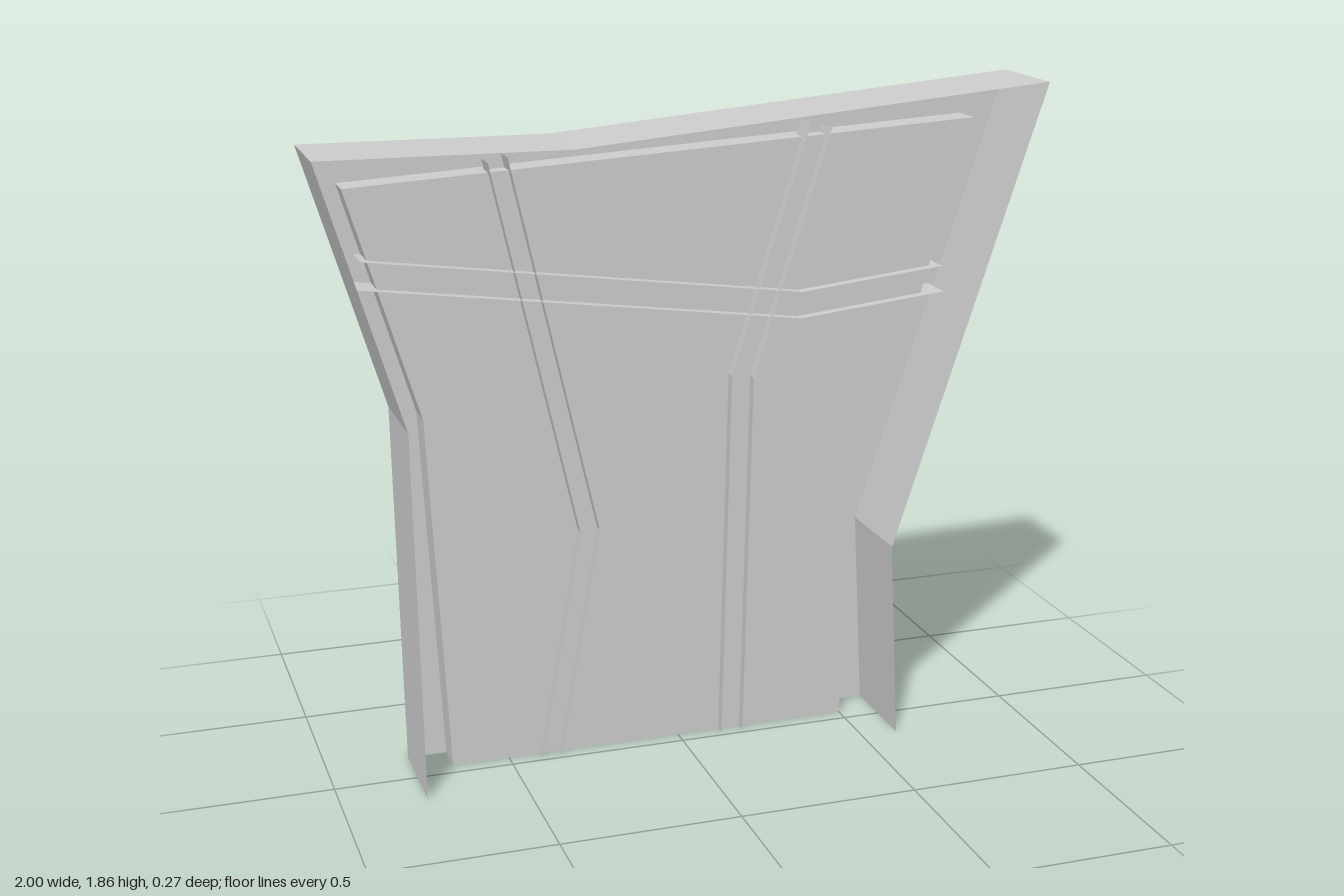
import * as THREE from 'three';

const BACK = -0.135, FRONT = 0.135, PANEL = -0.045;
const material = new THREE.MeshStandardMaterial({ color: 0xcccccc, side: THREE.DoubleSide, flatShading: true });

// Outlines run from the bottom right foot, over the top, to the bottom left foot
const outer = [[0.605, 0], [0.575, 0.57], [1, 1.855], [-0.33, 1.74], [-1, 1.745], [-0.785, 1.03], [-0.77, 0]];
const inner = [[0.5, 0], [0.52, 0.58], [0.865, 1.74], [-0.33, 1.672], [-0.9, 1.64], [-0.71, 1.01], [-0.66, 0]];

function addMesh(group, name, geometry) {
  const mesh = new THREE.Mesh(geometry, material);
  mesh.name = name;
  group.add(mesh);
  return mesh;
}

// Sheet spanned between two lines, each at its own depth
function strip(lineA, zA, lineB, zB) {
  const positions = [];
  for (let i = 0; i < lineA.length - 1; i++) {
    const a = [...lineA[i], zA], b = [...lineA[i + 1], zA];
    const c = [...lineB[i + 1], zB], d = [...lineB[i], zB];
    positions.push(...a, ...b, ...c, ...a, ...c, ...d);
  }
  const geometry = new THREE.BufferGeometry();
  geometry.setAttribute('position', new THREE.Float32BufferAttribute(positions, 3));
  geometry.computeVertexNormals();
  return geometry;
}

// Parallel line with mitred bends; ends on the ground are cut level
function offsetLine(points, distance) {
  const path = points.map(([x, y]) => new THREE.Vector2(x, y));
  return path.map((p, i) => {
    const before = p.clone().sub(path[Math.max(i - 1, 0)]).normalize();
    const after = path[Math.min(i + 1, path.length - 1)].clone().sub(p).normalize();
    const dir = before.clone().add(after).normalize();
    const side = i > 0 ? before : after;
    const normal = new THREE.Vector2(-dir.y, dir.x);
    const q = p.clone().addScaledVector(normal, distance / dir.dot(side));
    if (p.y === 0) q.addScaledVector(dir, -q.y / dir.y);
    return [q.x, q.y];
  });
}

// Open channel: a back cap and two sides that pass through the panel
function addChannel(group, name, points, halfWidth, capZ, edgeZ) {
  const channel = new THREE.Group();
  channel.name = name;
  const a = offsetLine(points, halfWidth), b = offsetLine(points, -halfWidth);
  addMesh(channel, 'channelCap', strip(a, capZ, b, capZ));
  for (const line of [a, b]) addMesh(channel, 'channelSide', strip(line, capZ, line, edgeZ));
  group.add(channel);
}

export function createModel() {
  const model = new THREE.Group();
  model.name = 'stiffenedPanel';

  // Rim, back flange and recess wall, all open along the bottom
  addMesh(model, 'outerRim', strip(outer, BACK, outer, FRONT));
  addMesh(model, 'backFlange', strip(outer, BACK, inner, BACK));
  addMesh(model, 'recessWall', strip(inner, BACK, inner, PANEL));

  // Recessed skin
  const shape = new THREE.Shape(inner.map(([x, y]) => new THREE.Vector2(x, y)));
  addMesh(model, 'panelSkin', new THREE.ShapeGeometry(shape)).position.z = PANEL;

  // Stiffeners
  addChannel(model, 'rightRib', [[-0.497, 1.697], [-0.263, 0.66], [-0.38, 0]], 0.027, -0.092, -0.015);
  addChannel(model, 'leftRib', [[0.4, 1.745], [0.18, 1.06], [0.155, 0]], 0.032, -0.092, -0.015);
  addChannel(model, 'crossBeam', [[-0.868, 1.417], [0.35, 1.25], [0.775, 1.295]], 0.037, -0.125, -0.015);

  return model;
}
